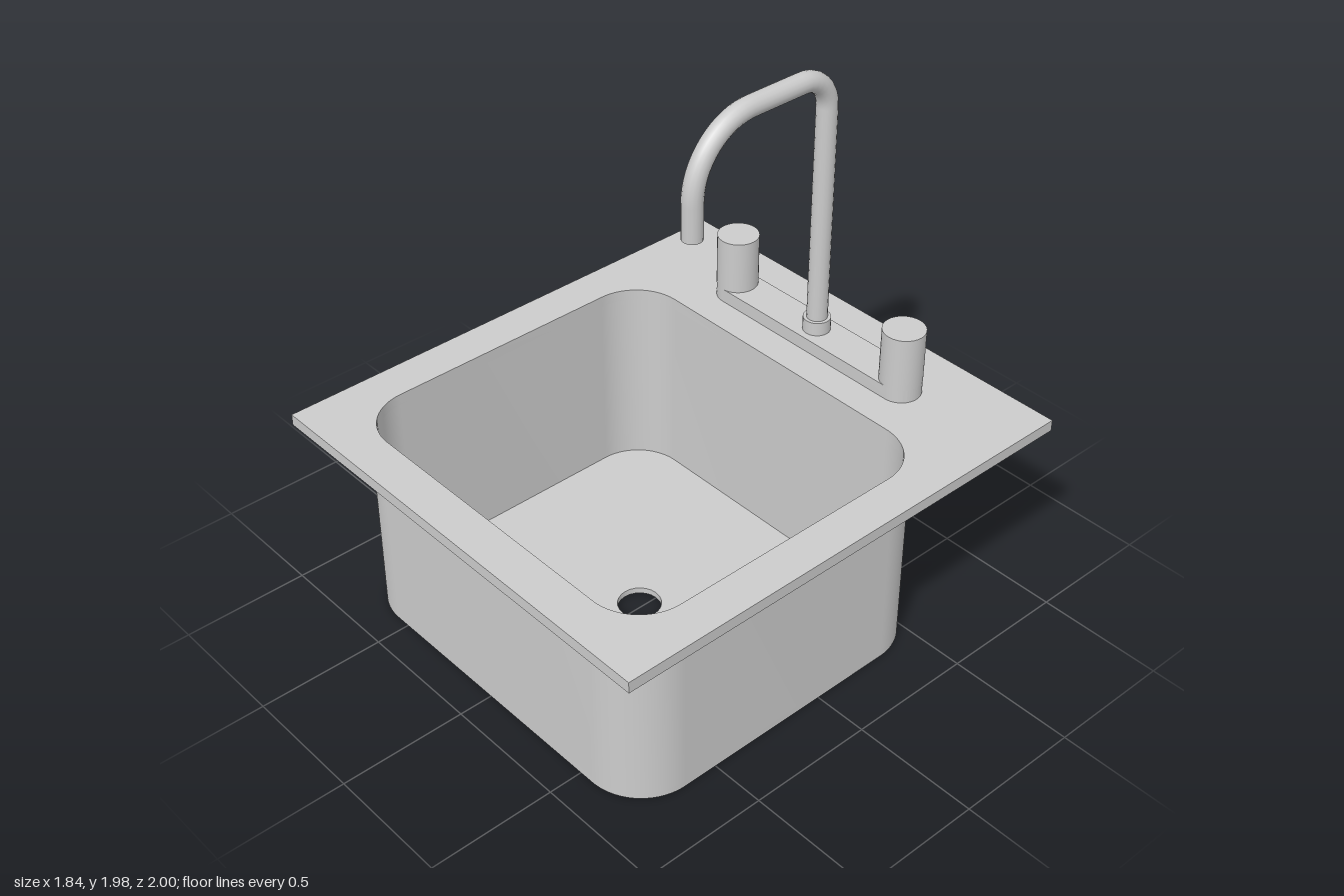
import * as THREE from 'three';
import { toCreasedNormals } from 'three/addons/utils/BufferGeometryUtils.js';

const FAUCET_Z = -0.73, BOWL_Z = 0.16, HANDLE_X = 0.43;
const DECK_BOTTOM = 0.765, DECK_TOP = 0.81, PLATE_TOP = 0.865;

// Rounded rectangle in plan; z is negated because plans are laid flat later
function roundedRect(target, halfX, halfZ, cz, r) {
  const cy = -cz, q = Math.PI / 2;
  const ix = halfX - r, iy = halfZ - r;
  target.moveTo(halfX, cy - iy);
  target.absarc(ix, cy + iy, r, 0, q);
  target.absarc(-ix, cy + iy, r, q, 2 * q);
  target.absarc(-ix, cy - iy, r, 2 * q, 3 * q);
  target.absarc(ix, cy - iy, r, 3 * q, 4 * q);
  return target;
}

function circle(x, z, r) {
  return new THREE.Path().absarc(x, -z, r, 0, Math.PI * 2, false);
}

// Horizontal slab from a plan, between two heights
function slab(shape, y0, y1) {
  const g = new THREE.ExtrudeGeometry(shape, { depth: y1 - y0, bevelEnabled: false, curveSegments: 12 });
  g.rotateX(-Math.PI / 2);
  g.translate(0, y0, 0);
  return toCreasedNormals(g, 0.6);
}

export function createModel() {
  const model = new THREE.Group();
  model.name = 'sink';
  const material = new THREE.MeshStandardMaterial({ color: 0xcccccc });
  const add = (name, geometry, parent = model) => {
    const mesh = new THREE.Mesh(geometry, material);
    mesh.name = name;
    parent.add(mesh);
    return mesh;
  };

  // Deck with the bowl opening and three faucet holes
  const deck = new THREE.Shape();
  deck.moveTo(-0.92, -1).lineTo(0.92, -1).lineTo(0.92, 1).lineTo(-0.92, 1).closePath();
  deck.holes.push(roundedRect(new THREE.Path(), 0.76, 0.68, BOWL_Z, 0.2));
  for (const x of [-HANDLE_X, 0, HANDLE_X]) deck.holes.push(circle(x, FAUCET_Z, 0.078));
  add('deck', slab(deck, DECK_BOTTOM, DECK_TOP));

  // Bowl: hollow wall on a floor with a drain hole
  const bowl = new THREE.Group();
  bowl.name = 'bowl';
  model.add(bowl);
  const wall = roundedRect(new THREE.Shape(), 0.785, 0.705, BOWL_Z, 0.225);
  wall.holes.push(roundedRect(new THREE.Path(), 0.76, 0.68, BOWL_Z, 0.2));
  add('bowlWall', slab(wall, 0.025, DECK_BOTTOM), bowl);
  const floor = roundedRect(new THREE.Shape(), 0.785, 0.705, BOWL_Z, 0.225);
  floor.holes.push(circle(0, BOWL_Z, 0.083));
  add('bowlFloor', slab(floor, 0, 0.025), bowl);

  // Faucet base plate with round ends, and a collar
  const faucet = new THREE.Group();
  faucet.name = 'faucet';
  model.add(faucet);
  const plate = roundedRect(new THREE.Shape(), 0.51, 0.08, FAUCET_Z, 0.0799);
  add('faucetPlate', slab(plate, DECK_TOP, PLATE_TOP), faucet);
  add('spoutCollar', new THREE.CylinderGeometry(0.053, 0.053, 0.055, 24), faucet)
    .position.set(0, PLATE_TOP + 0.0275, FAUCET_Z);

  // Cylindrical handles
  for (const side of [-1, 1]) {
    add(side > 0 ? 'leftHandle' : 'rightHandle', new THREE.CylinderGeometry(0.081, 0.081, 0.215, 32), faucet)
      .position.set(side * HANDLE_X, PLATE_TOP + 0.1075, FAUCET_Z);
  }

  // Gooseneck spout: tight rear bend, level run, wide front bend
  const p = (y, z) => new THREE.Vector3(0, y, z);
  const k = 0.5523;
  const bend = (a, corner, b) => new THREE.CubicBezierCurve3(
    a, a.clone().lerp(corner, k), b.clone().lerp(corner, k), b);
  const rearLow = p(1.805, FAUCET_Z), rearHigh = p(1.935, -0.6);
  const frontHigh = p(1.935, -0.36), frontLow = p(1.66, -0.095), tip = p(1.52, -0.095);
  const path = new THREE.CurvePath();
  path.add(new THREE.LineCurve3(p(0.9, FAUCET_Z), rearLow));
  path.add(bend(rearLow, p(1.935, FAUCET_Z), rearHigh));
  path.add(new THREE.LineCurve3(rearHigh, frontHigh));
  path.add(bend(frontHigh, p(1.935, -0.095), frontLow));
  path.add(new THREE.LineCurve3(frontLow, tip));
  add('spout', new THREE.TubeGeometry(path, 70, 0.04, 16), faucet);
  const end = add('spoutEnd', new THREE.CircleGeometry(0.04, 16), faucet);
  end.rotation.x = Math.PI / 2;
  end.position.copy(tip);

  return model;
}
